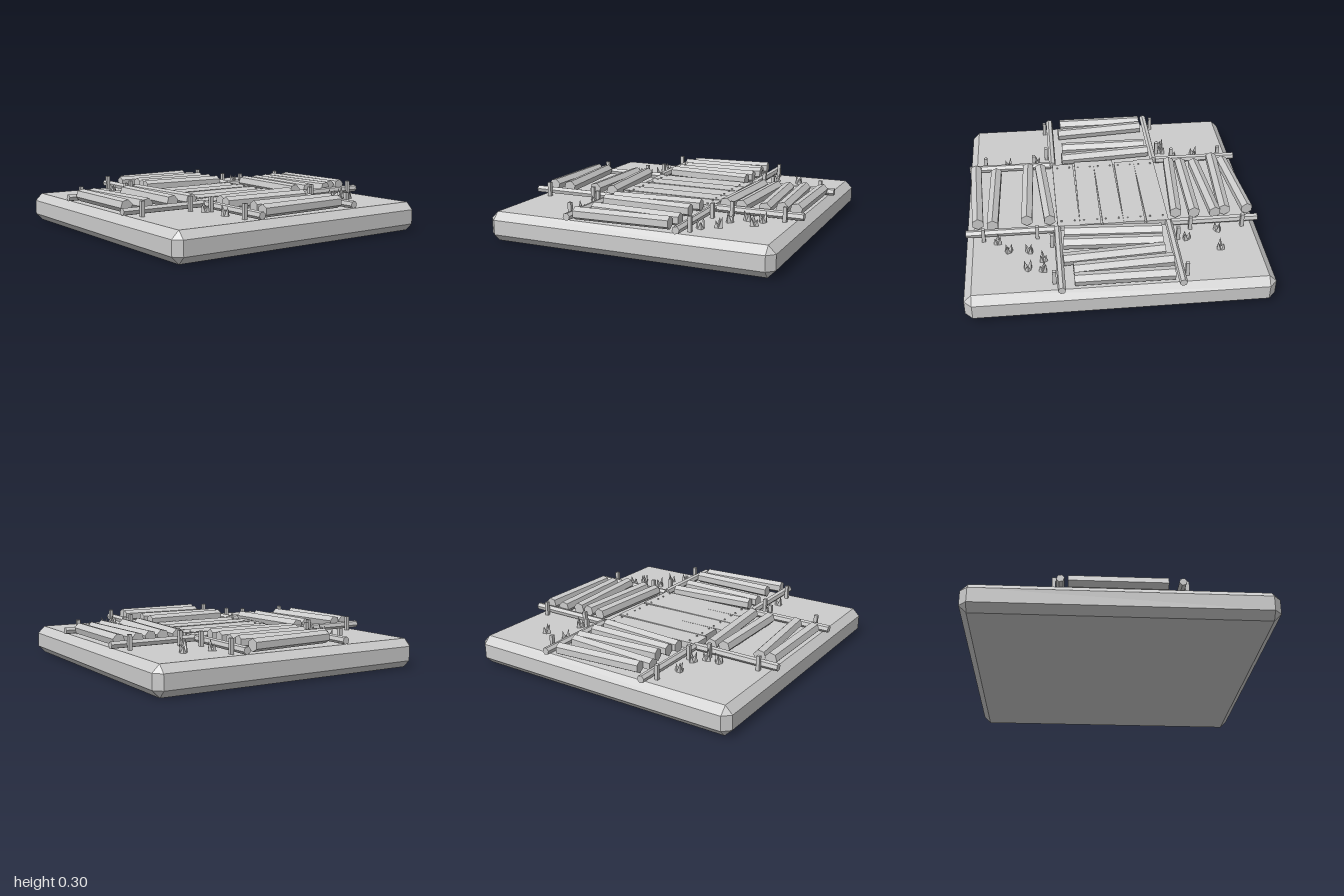
import * as THREE from 'three';
import { ConvexGeometry } from 'three/addons/geometries/ConvexGeometry.js';

export function createModel() {
  const group = new THREE.Group();
  const stone = new THREE.MeshStandardMaterial({ color: 0xcccccc });
  stone.name = 'pale grey';

  const add = (name, geo, x = 0, y = 0, z = 0) => {
    const flat = geo.index ? geo.toNonIndexed() : geo;
    flat.computeVertexNormals();
    const mesh = new THREE.Mesh(flat, stone);
    mesh.name = name;
    mesh.position.set(x, y, z);
    group.add(mesh);
    return mesh;
  };

  // Hexagonal beam between two points on the ground plan, rolled about its axis
  const beam = (name, x1, z1, x2, z2, r, y, roll) => {
    const dx = x2 - x1, dz = z2 - z1;
    const geo = new THREE.CylinderGeometry(r, r, Math.hypot(dx, dz), 6);
    geo.rotateY(THREE.MathUtils.degToRad(roll));
    geo.rotateZ(Math.PI / 2);
    geo.rotateY(Math.atan2(-dz, dx));
    return add(name, geo, (x1 + x2) / 2, y, (z1 + z2) / 2);
  };

  // Chamfered base slab
  const corners = [];
  for (const sx of [-1, 1]) for (const sy of [-1, 1]) for (const sz of [-1, 1]) {
    corners.push(
      new THREE.Vector3(sx, 0.1 + sy * 0.05, sz * 0.95),
      new THREE.Vector3(sx * 0.95, 0.1 + sy * 0.1, sz * 0.95),
      new THREE.Vector3(sx * 0.95, 0.1 + sy * 0.05, sz));
  }
  add('base', new ConvexGeometry(corners));

  // Rails along both sides of every arm
  for (const s of [-1, 1]) for (const t of [-1, 1]) {
    beam('rail', s * 0.4, t * 0.383, s, t * 0.383, 0.026, 0.234, -13);
    beam('rail', s * 0.383, t * 0.38, s * 0.383, t, 0.026, 0.234, -13);
  }

  // Posts beside the rails
  for (const s of [-1, 1]) for (const p of [-0.885, -0.525, 0.52, 0.88]) {
    add('post', new THREE.BoxGeometry(0.024, 0.1, 0.024), s * 0.425, 0.25, p);
    add('post', new THREE.BoxGeometry(0.024, 0.1, 0.024), p, 0.25, s * 0.425);
  }

  // Cross logs of the back and front arms: left x, z, right x, z
  const crossLogs = [
    [-0.34, -0.92, 0.30, -0.92], [-0.35, -0.79, 0.30, -0.825],
    [-0.31, -0.68, 0.36, -0.725], [-0.31, -0.59, 0.35, -0.56],
    [-0.32, -0.48, 0.34, -0.445], [-0.35, 0.485, 0.31, 0.435],
    [-0.335, 0.575, 0.30, 0.577], [-0.335, 0.838, 0.32, 0.78],
    [-0.335, 0.92, 0.30, 0.92]
  ];
  for (const l of crossLogs) beam('crossLog', ...l, 0.0435, 0.254, -13);

  // Cross logs of the side arms
  const sideLogs = [
    [-0.945, -0.31, -0.89, 0.30], [-0.785, -0.31, -0.82, 0.35],
    [-0.715, -0.33, -0.672, 0.285], [-0.57, -0.32, -0.572, 0.30],
    [-0.443, -0.31, -0.488, 0.32], [0.43, -0.31, 0.476, 0.32],
    [0.587, -0.30, 0.565, 0.34], [0.82, -0.335, 0.80, 0.295],
    [0.92, -0.31, 0.95, 0.345]
  ];
  for (const l of sideLogs) beam('sideLog', ...l, 0.043, 0.254, 30);

  // Central deck of uneven boards with nail heads
  add('deckBed', new THREE.BoxGeometry(0.76, 0.03, 0.72), 0, 0.215, 0);
  const seams = [-0.385, -0.228, -0.075, 0.075, 0.225, 0.385];
  const fronts = [0.38, 0.36, 0.395, 0.39, 0.37];
  for (let i = 0; i < 5; i++) {
    const width = seams[i + 1] - seams[i] - 0.006, mid = (seams[i] + seams[i + 1]) / 2;
    const length = fronts[i] + 0.37;
    const board = add('deckBoard', new THREE.BoxGeometry(width, 0.04, length),
      mid, 0.225 + (i % 2) * 0.003, (fronts[i] - 0.37) / 2);
    board.rotation.y = (i % 2 ? -1 : 1) * 0.008;
    for (const z of [-0.32, 0.32]) for (const dx of [-0.045, 0.045]) {
      add('nail', new THREE.CylinderGeometry(0.006, 0.007, 0.008, 6), mid + dx, 0.25, z);
    }
  }

  // Clumps of pointed shoots on the four corner plots
  const clumps = [
    [-0.69, -0.65], [-0.71, -0.46], [-0.48, -0.53], [0.49, -0.76], [0.59, -0.735],
    [0.49, -0.66], [0.575, -0.565], [0.715, -0.55], [0.785, -0.455], [-0.71, 0.475],
    [-0.54, 0.465], [-0.47, 0.53], [-0.465, 0.615], [0.5, 0.46], [0.71, 0.445]
  ];
  clumps.forEach(([x, z], i) => {
    for (let k = 0; k < 3; k++) {
      const a = i * 1.3 + k * 2.1, h = 0.075 - k * 0.012;
      const cone = new THREE.ConeGeometry(0.02, h, 4);
      cone.rotateY(a);
      const shoot = add('shoot', cone, x + Math.sin(a) * 0.018, 0.2 + h * 0.46, z + Math.cos(a) * 0.018);
      shoot.rotation.set(Math.cos(a) * 0.2, 0, -Math.sin(a) * 0.2);
    }
  });

  return group;
}
